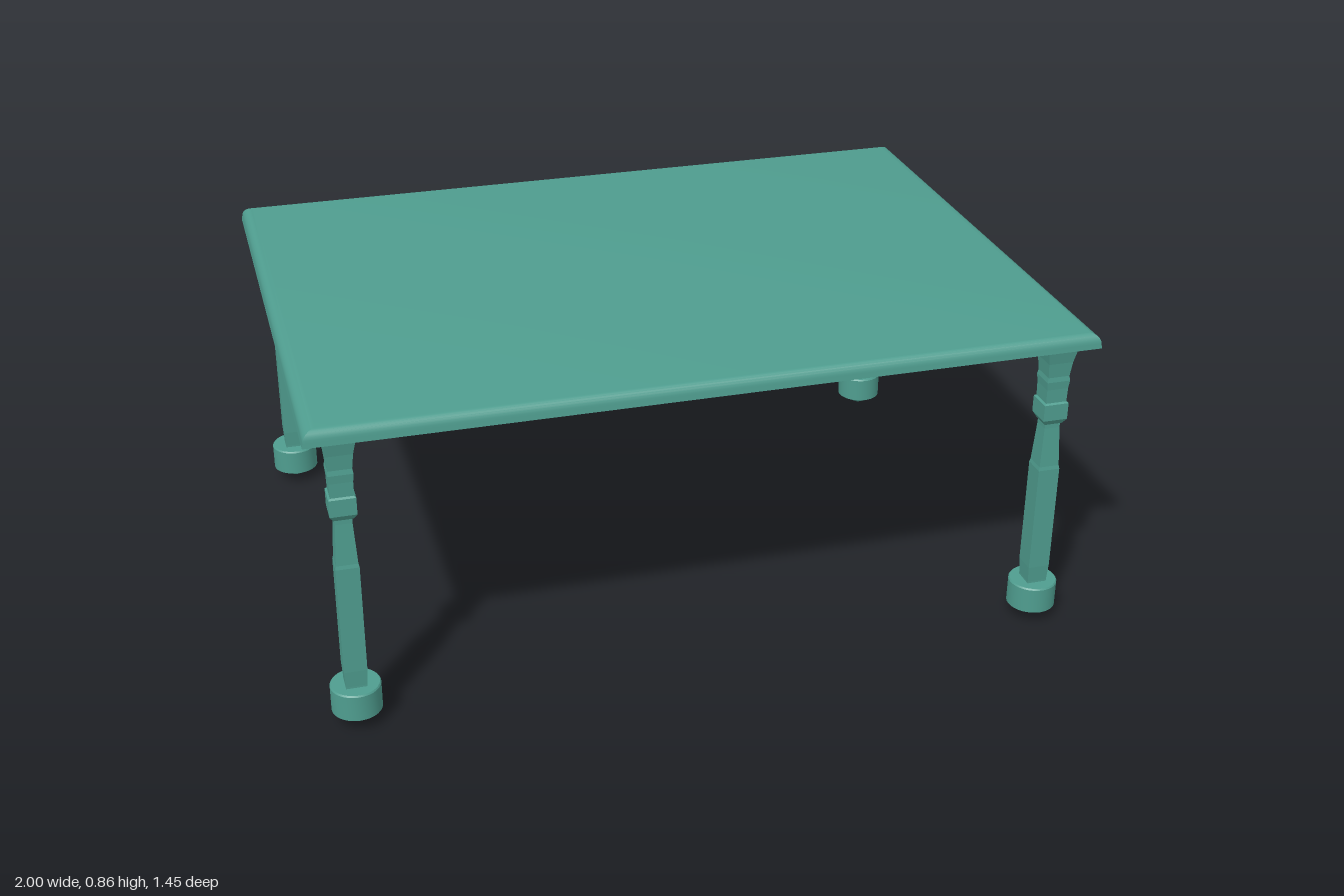
import * as THREE from 'three';
import { toCreasedNormals } from 'three/addons/utils/BufferGeometryUtils.js';

const COLOR = 0x4f9d8f;
const TOP_Y = 0.856, UNDER_Y = 0.816;
const LEG_X = 0.914, LEG_Z = 0.649;

const toPoints = (list) => list.map(([r, y]) => new THREE.Vector2(r, y));

// Square-section solid: r is the half width at each height
function squareTurned(profile) {
  const points = toPoints(profile.map(([r, y]) => [r * Math.SQRT2, y]));
  return new THREE.LatheGeometry(points, 4).rotateY(Math.PI / 4);
}

function makeTop() {
  // Flat underside, short upright edge, then a rounded upper rim
  const profile = [[0, UNDER_Y], [1, UNDER_Y], [0.998, 0.828]];
  for (let i = 1; i <= 6; i++) {
    const a = (i / 6) * Math.PI / 2;
    profile.push([0.966 + 0.032 * Math.cos(a), 0.828 + (TOP_Y - 0.828) * Math.sin(a)]);
  }
  profile.push([0, TOP_Y]);
  return toCreasedNormals(squareTurned(profile).scale(1, 1, 0.724), 0.5);
}

export function createModel() {
  const model = new THREE.Group();
  model.name = 'table';
  const smooth = new THREE.MeshStandardMaterial({ color: COLOR });
  const flat = new THREE.MeshStandardMaterial({ color: COLOR, flatShading: true });

  const add = (parent, name, geometry, material) => {
    const mesh = new THREE.Mesh(geometry, material);
    mesh.name = name;
    parent.add(mesh);
  };

  add(model, 'tableTop', makeTop(), smooth);

  // Square shaft with a slight swelling, narrowing to a neck
  const shaft = squareTurned([
    [0, 0.1], [0.0265, 0.1], [0.0265, 0.115], [0.029, 0.16], [0.029, 0.455],
    [0.027, 0.465], [0.021, 0.575], [0.021, 0.6], [0, 0.6],
  ]);
  // Collar block with a chamfered lower edge
  const collar = squareTurned([
    [0, 0.588], [0.024, 0.588], [0.033, 0.603], [0.033, 0.648], [0.028, 0.652], [0, 0.652],
  ]);
  // Flared capital carrying the top
  const capital = squareTurned([
    [0, 0.645], [0.028, 0.645], [0.029, 0.69], [0.031, 0.712], [0.029, 0.725],
    [0.033, 0.765], [0.043, 0.817], [0, 0.817],
  ]);
  // Round foot with a conical underside
  const foot = toCreasedNormals(new THREE.LatheGeometry(toPoints([
    [0, 0], [0.064, 0.037], [0.064, 0.106], [0.061, 0.11], [0, 0.11],
  ]), 32), 0.5);

  for (const [end, sz] of [['Front', 1], ['Back', -1]]) {
    for (const [side, sx] of [['Left', 1], ['Right', -1]]) {
      const leg = new THREE.Group();
      leg.name = `leg${end}${side}`;
      leg.position.set(sx * LEG_X, 0, sz * LEG_Z);
      add(leg, 'foot', foot, smooth);
      add(leg, 'shaft', shaft, flat);
      add(leg, 'collar', collar, flat);
      add(leg, 'capital', capital, flat);
      model.add(leg);
    }
  }
  return model;
}
